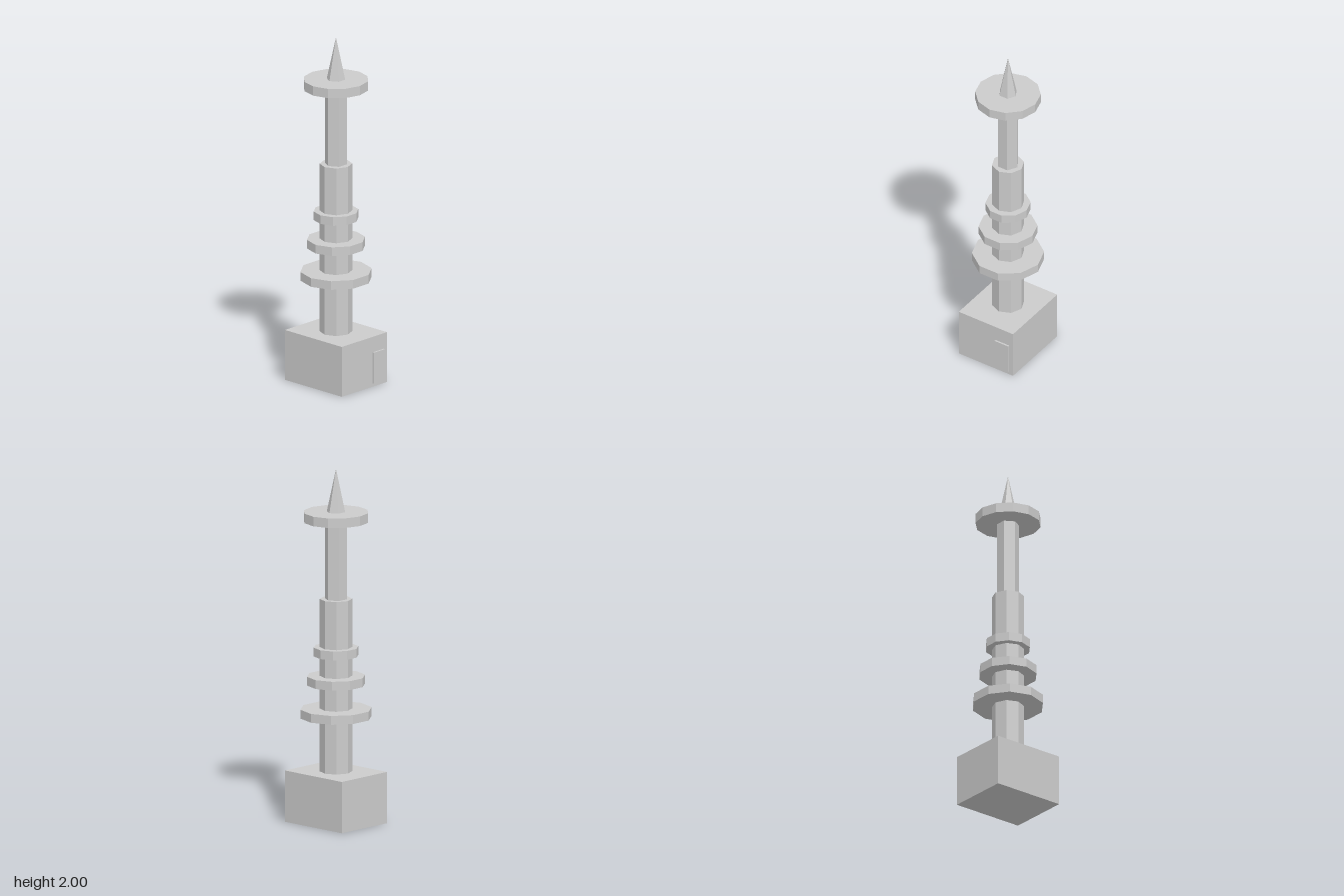
import * as THREE from 'three';

const material = new THREE.MeshStandardMaterial({ color: 0xcccccc, flatShading: true });

export function createModel() {
  const tower = new THREE.Group();
  tower.name = 'tower';
  const axisX = -0.005;

  function add(name, geometry, x, y, z) {
    const mesh = new THREE.Mesh(geometry, material);
    mesh.name = name;
    mesh.position.set(x, y, z);
    tower.add(mesh);
  }

  // Upright prism or cone between two heights, a corner facing the front
  function prism(name, sides, bottom, top, radius, topRadius = radius) {
    const geometry = new THREE.CylinderGeometry(topRadius, radius, top - bottom, sides);
    add(name, geometry, axisX, (bottom + top) / 2, 0);
  }

  // Base building with a door on its left side
  add('base', new THREE.BoxGeometry(0.434, 0.29, 0.362), axisX, 0.145, 0);
  add('door', new THREE.BoxGeometry(0.02, 0.18, 0.09), 0.212, 0.11, -0.11);

  // Stepped shaft
  prism('lowerShaft', 8, 0.29, 1.265, 0.09);
  prism('upperShaft', 6, 1.265, 1.703, 0.0625);

  // Three ring platforms, shrinking upwards
  [[0.595, 0.645, 0.2], [0.78, 0.83, 0.163], [0.943, 0.993, 0.125]].forEach(
    ([bottom, top, radius], i) => prism(`ringPlatform${i + 1}`, 10, bottom, top, radius)
  );

  // Observation disc and spire
  prism('topDisc', 12, 1.703, 1.757, 0.182);
  prism('spire', 6, 1.757, 2, 0.0525, 0);

  return tower;
}
